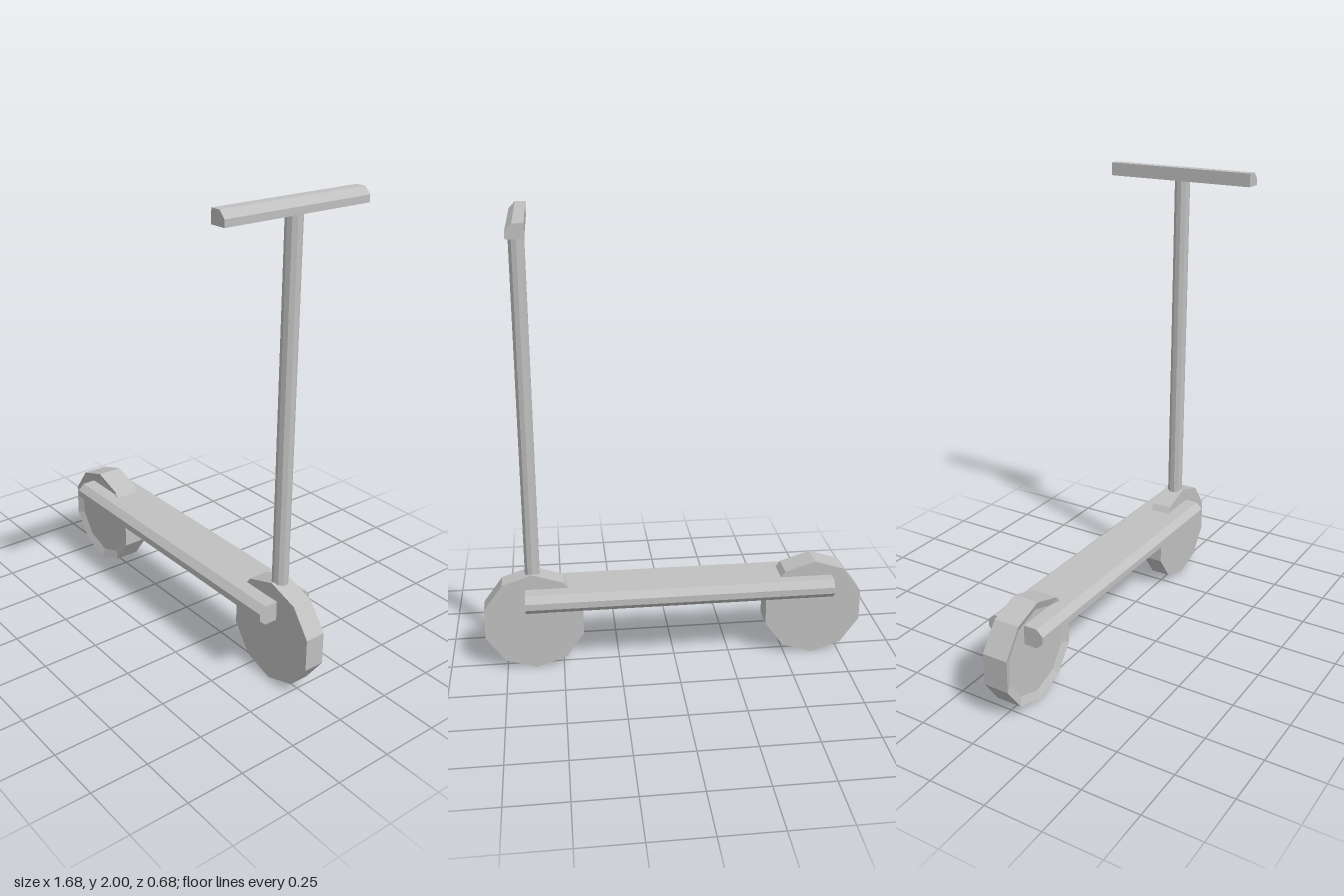
import * as THREE from 'three';

export function createModel() {
  const model = new THREE.Group();
  model.name = 'scooter';
  const grey = new THREE.MeshStandardMaterial({ color: 0xc0c0c0, flatShading: true });
  grey.name = 'light grey';

  const add = (name, geometry, x = 0, y = 0, z = 0) => {
    const mesh = new THREE.Mesh(geometry, grey);
    mesh.name = name;
    mesh.position.set(x, y, z);
    model.add(mesh);
  };
  // Prism along z, centred on z = 0
  const prism = (points, length) => {
    const shape = new THREE.Shape(points.map(([x, y]) => new THREE.Vector2(x, y)));
    return new THREE.ExtrudeGeometry(shape, { depth: length, bevelEnabled: false })
      .translate(0, 0, -length / 2);
  };
  // Ten-sided wheel turned about the z axis from [radius, z] points
  const wheel = (profile) => new THREE.LatheGeometry(
    profile.map(([r, z]) => new THREE.Vector2(r, z)), 10).rotateX(Math.PI / 2);

  const R = 0.227;

  // Front wheel: plain disc
  add('frontWheel', wheel([[0, -0.045], [R, -0.045], [R, 0.045], [0, 0.045]]), 0.624, R);

  // Rear wheel: wider, with a shallow dished face on one side
  add('rearWheel', wheel([[0, -0.057], [R, -0.057], [R, 0.057], [0.19, 0.043], [0, 0.043]]), -0.626, R);

  // Deck: flat board with bevelled long edges
  const deck = prism([
    [-0.104, 0.3], [0.104, 0.3], [0.132, 0.328], [0.132, 0.357],
    [0.104, 0.385], [-0.104, 0.385], [-0.132, 0.357], [-0.132, 0.328],
  ], 1.362).rotateY(Math.PI / 2);
  add('deck', deck, -0.023);

  // Steering post
  add('steeringPost', new THREE.CylinderGeometry(0.034, 0.034, 1.535, 10), 0.624, 1.1825);

  // Handlebar: square bar with one bevelled top edge
  add('handlebar', prism([
    [0.586, 1.943], [0.657, 1.943], [0.657, 1.972], [0.63, 2], [0.586, 2],
  ], 0.682));

  return model;
}
